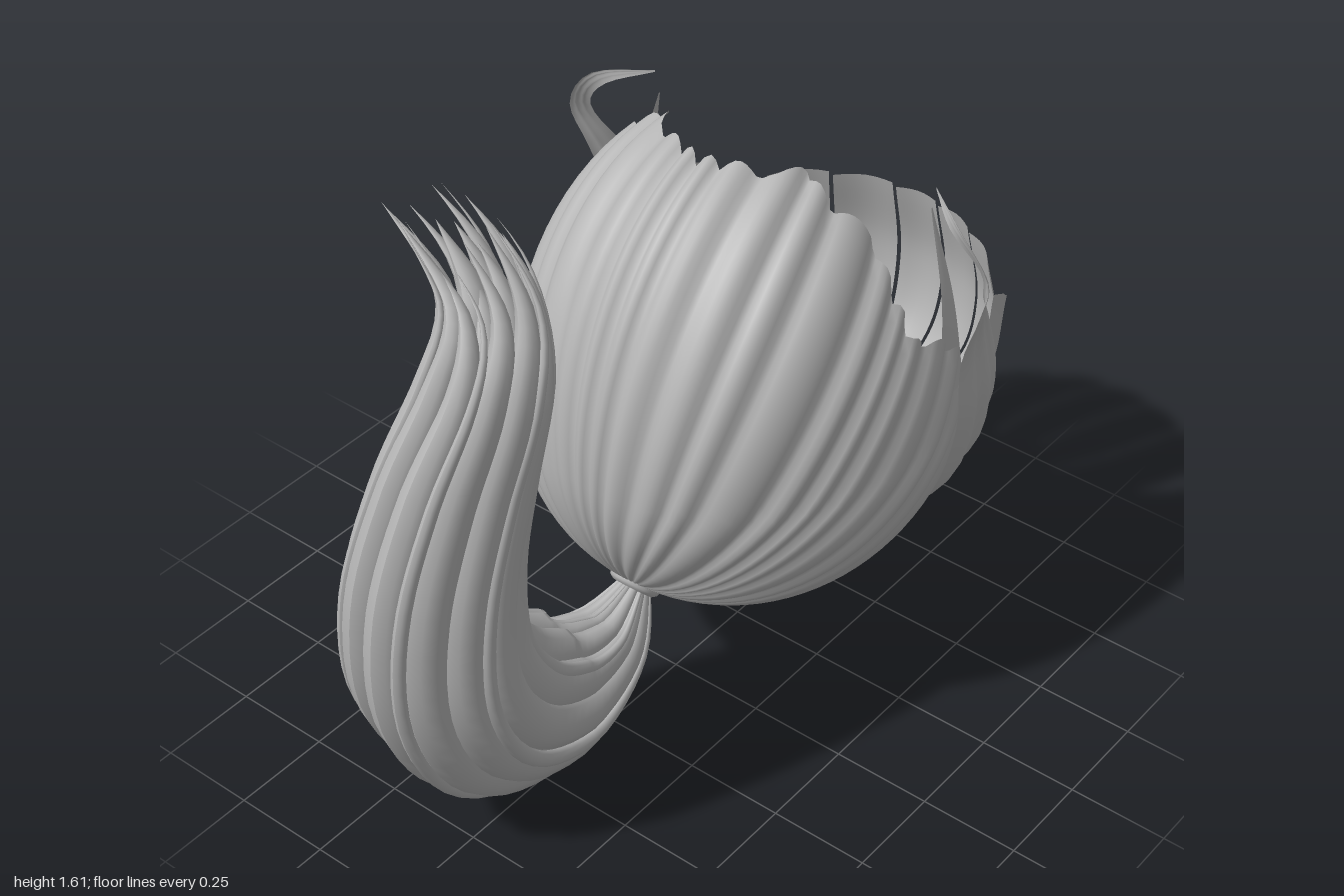
import * as THREE from 'three';

const hair = new THREE.MeshStandardMaterial({ color: 0xb4b4b4, side: THREE.DoubleSide });
hair.name = 'hair grey';
const V = (x, y, z) => new THREE.Vector3(x, y, z);
const curve = pts => new THREE.CatmullRomCurve3(pts.map(p => V(...p)));

// surface from a rule fn(u, v) with u, v in 0..1
function grid(name, nu, nv, fn) {
  const pos = [], idx = [];
  for (let j = 0; j <= nv; j++)
    for (let i = 0; i <= nu; i++) pos.push(...fn(i / nu, j / nv).toArray());
  for (let j = 0; j < nv; j++)
    for (let i = 0; i < nu; i++) {
      const a = j * (nu + 1) + i, b = a + 1, c = a + nu + 1, d = c + 1;
      idx.push(a, b, c, b, d, c);
    }
  const g = new THREE.BufferGeometry();
  g.setAttribute('position', new THREE.Float32BufferAttribute(pos, 3));
  g.setIndex(idx);
  g.computeVertexNormals();
  const m = new THREE.Mesh(g, hair);
  m.name = name;
  return m;
}

// curved sheet between two edge lines, bulging away from the head centre
const centre = V(0, 0.78, -0.25);
function sheet(name, edgeA, edgeB, bulge, ribs = 2) {
  const A = curve(edgeA), B = curve(edgeB);
  return grid(name, ribs * 6, 32, (s, t) => {
    const a = A.getPoint(t), b = B.getPoint(t), width = a.distanceTo(b);
    const p = a.lerp(b, s);
    const out = p.clone().sub(centre).normalize();
    const rise = Math.sin(Math.PI * s) * bulge + Math.abs(Math.sin(Math.PI * s * ribs)) * 0.04;
    return p.addScaledVector(out, rise * width);
  });
}

// piecewise linear lookup in [key, value] pairs
function lookup(table, x) {
  for (let i = 1; i < table.length; i++)
    if (x <= table[i][0]) {
      const [a, b] = [table[i - 1], table[i]];
      return THREE.MathUtils.mapLinear(x, a[0], b[0], a[1], b[1]);
    }
  return table[table.length - 1][1];
}

// swept-back cap: ribs radiate from the hair tie to a jagged hairline
function cap() {
  const pole = V(0, -0.692, 0.722), up = V(0, 0.722, 0.692), side = V(1, 0, 0);
  const hairline = [[0, 116], [14, 119], [22, 121], [28, 127], [36, 122], [52, 121], [62, 113],
    [72, 107], [84, 112], [95, 114], [110, 108], [135, 100], [180, 84]];
  const ribs = 36;
  return grid('cap', ribs * 6, 28, (u, v) => {
    const phi = (u - 0.5) * Math.PI * 2;
    const warp = phi + 0.05 * Math.sin(5 * phi) + 0.03 * Math.sin(11 * phi);
    const wave = Math.abs(Math.sin(warp * ribs / 2));
    const end = lookup(hairline, Math.abs(phi) * 180 / Math.PI) + 2 * (wave - 0.5);
    const th = (0.07 + v * (end * Math.PI / 180 - 0.07));
    const r = 1 + 0.035 * (wave - 0.6) * Math.sin(th);
    const d = pole.clone().multiplyScalar(Math.cos(th))
      .addScaledVector(up, Math.sin(th) * Math.cos(phi))
      .addScaledVector(side, Math.sin(th) * Math.sin(phi)).multiplyScalar(r);
    return V(d.x * 0.515, 0.78 + d.y * (d.y > 0 ? 0.72 : 0.55), -0.25 + d.z * 0.57);
  });
}

// one edge line of the fringe at angle a round the forehead
const fringeEdge = (a, top) => [[0.33, 0.37], [0.42, 0.57], [0.55, 0.68], [0.72, 0.71], [top, 0.665]]
  .map(([y, r], i) => {
    const k = a * Math.min(1, 0.35 + i * 0.3);
    return [0.76 * r * Math.sin(k), y, -0.28 - r * Math.cos(k)];
  });

// ponytail spine rows: z, y, half depth, x, half width
const spine = [[0.14, 0.40, 0.03, 0, 0.03], [0.25, 0.28, 0.13, -0.01, 0.10], [0.42, 0.23, 0.21, -0.04, 0.16],
  [0.62, 0.32, 0.22, -0.05, 0.19], [0.76, 0.54, 0.21, -0.05, 0.2], [0.78, 0.80, 0.21, -0.04, 0.19],
  [0.73, 1.05, 0.20, -0.01, 0.165], [0.65, 1.28, 0.17, 0.02, 0.14], [0.59, 1.47, 0.13, 0.01, 0.12],
  [0.58, 1.62, 0.11, -0.04, 0.11]];
const spinePath = curve(spine.map(([z, y, , x]) => [x, y, z]));
const spineSize = curve(spine.map(([, , h, , w]) => [h, w, 0]));

// tapered strand inside the ponytail, placed by angle and distance from the spine
function strand(angle, dist, length, curl, thick) {
  const at = t => {
    const p = spinePath.getPoint(t), s = spineSize.getPoint(t), tan = spinePath.getTangent(t);
    const n = V(0, -tan.z, tan.y).normalize();
    const q = angle + 0.8 * (t - 0.4);
    const tip = Math.max(0, (t / length - 0.82) / 0.18);
    p.addScaledVector(n, s.x * dist * Math.cos(q));
    p.x += s.y * dist * Math.sin(q) - curl * tip * tip;
    return { p, n, s };
  };
  return grid('ponytailStrand', 10, 48, (u, v) => {
    const { p, n, s } = at(v * length);
    const taper = v < 0.7 ? 1 : Math.max(0.001, 1 - ((v - 0.7) / 0.3) ** 2);
    const c = u * Math.PI * 2;
    p.addScaledVector(n, Math.cos(c) * s.x * thick * taper);
    p.x += Math.sin(c) * s.y * thick * taper;
    return p;
  });
}

export function createModel() {
  const model = new THREE.Group();
  model.name = 'ponytailHair';
  model.add(cap());

  // fringe panels with narrow slits
  const cuts = [-0.72, -0.42, -0.1, 0.16, 0.42, 0.72];
  for (let i = 0; i < 5; i++)
    model.add(sheet('fringePanel', fringeEdge(cuts[i], 0.93), fringeEdge(cuts[i + 1] - 0.02, 0.94), 0.06, 1));

  // mirrored face-framing locks
  for (const s of [1, -1]) {
    const m = pts => pts.map(([x, y, z]) => [s * x, y, z]);
    model.add(sheet('sideLock',
      m([[0.03, 0.29, -0.52], [0.24, 0.32, -0.5], [0.42, 0.5, -0.45], [0.5, 0.75, -0.42], [0.51, 0.95, -0.4],
        [0.57, 1.13, -0.37], [0.6, 1.25, -0.34], [0.52, 1.37, -0.33], [0.4, 1.38, -0.42]]),
      m([[0.03, 0.33, -0.72], [0.2, 0.4, -0.79], [0.36, 0.6, -0.75], [0.45, 0.82, -0.64], [0.48, 1.0, -0.55],
        [0.53, 1.13, -0.44], [0.56, 1.25, -0.37], [0.49, 1.345, -0.345], [0.4, 1.375, -0.42]]), 0.1, 3));
    model.add(sheet('innerLock',
      m([[0.03, 0.33, -0.63], [0.26, 0.42, -0.68], [0.42, 0.7, -0.62], [0.45, 1.0, -0.62]]),
      m([[0.03, 0.35, -0.74], [0.2, 0.43, -0.84], [0.34, 0.68, -0.79], [0.4, 0.9, -0.74]]), 0.1, 2));
    model.add(sheet('templeWisp',
      m([[0.47, 0.85, -0.38], [0.45, 1.08, -0.4], [0.39, 1.32, -0.42]]),
      m([[0.47, 0.85, -0.48], [0.44, 1.08, -0.46], [0.39, 1.32, -0.425]]), 0.1, 1));
  }

  // ponytail: a core, an outer ring and a few loose strands
  const tail = new THREE.Group();
  tail.name = 'ponytail';
  for (let i = 0; i < 4; i++) tail.add(strand(i * Math.PI / 2 + 0.4, 0.3, 0.93 + 0.02 * i, 0.08, 0.45));
  for (let i = 0; i < 11; i++) {
    const a = i / 11 * Math.PI * 2;
    const curl = 0.06 + 0.11 * (0.5 - 0.5 * Math.sin(a));
    tail.add(strand(a, 0.72, 0.94 + 0.06 * Math.abs(Math.sin(i * 2.3)), curl, 0.28));
  }
  for (let i = 0; i < 6; i++) tail.add(strand(i * 1.05 + 0.3, 0.94, 0.96 + 0.04 * (i % 2), 0.1, 0.09));
  model.add(tail);

  // band where the ponytail leaves the cap
  const tie = new THREE.Mesh(new THREE.TorusGeometry(0.045, 0.022, 10, 20), hair);
  tie.name = 'hairTie';
  tie.position.set(0, 0.4, 0.15);
  tie.rotation.x = 0.77;
  model.add(tie);
  return model;
}
